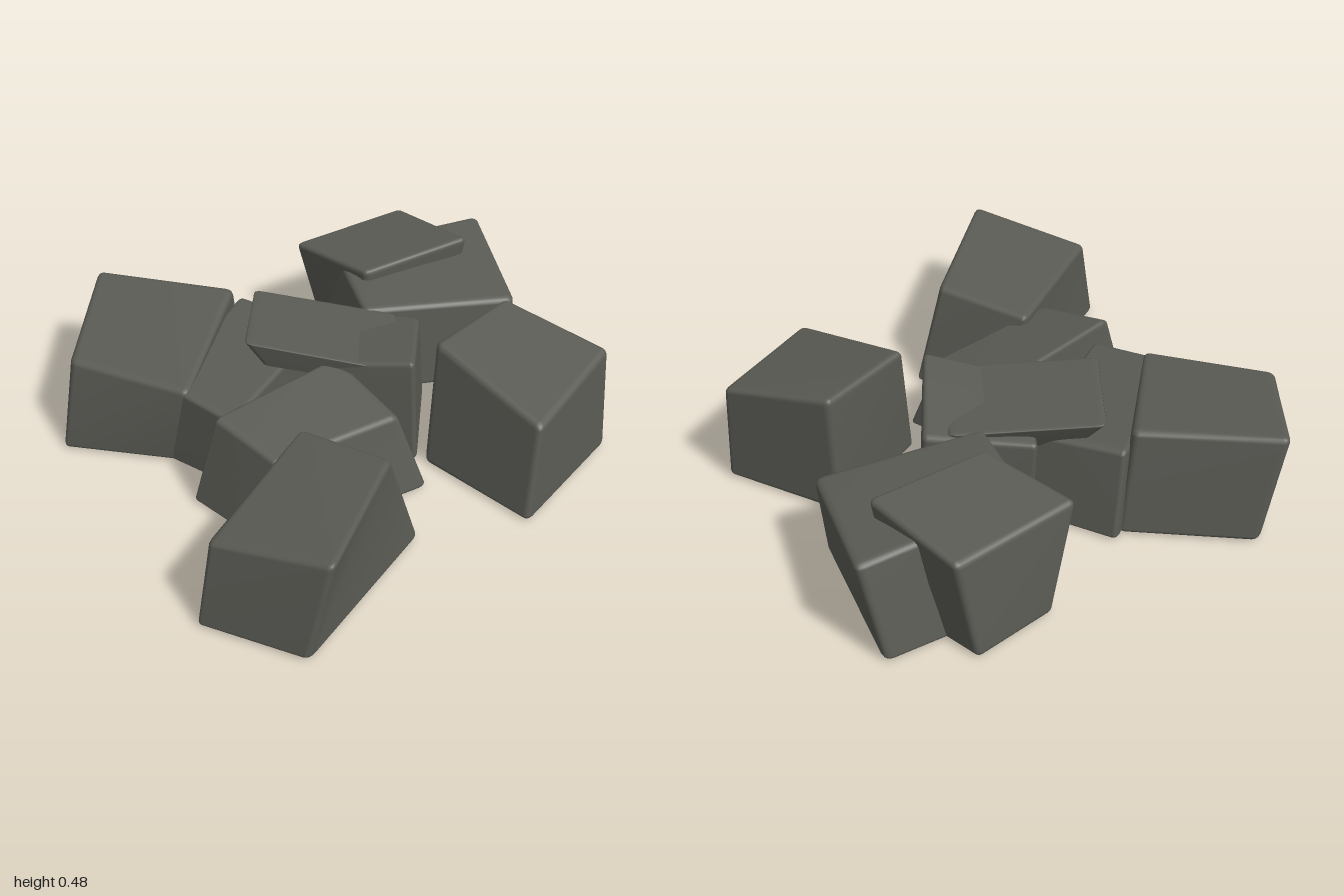
import * as THREE from 'three';
import { RoundedBoxGeometry } from 'three/addons/geometries/RoundedBoxGeometry.js';
import { mergeVertices } from 'three/addons/utils/BufferGeometryUtils.js';

const stone = new THREE.MeshStandardMaterial({ color: 0x5b5b55 });
stone.name = 'dark grey stone';

// A soft-edged block bent to eight corners.
// bottom: [x, z, y = 0] and top: [x, y, z], each in the order left, back, right, front.
function block(name, bottom, top) {
  let geo = new RoundedBoxGeometry(1, 1, 1, 2, 0.055);
  geo.deleteAttribute('uv');
  geo.deleteAttribute('normal');
  geo = mergeVertices(geo, 1e-4);
  const low = bottom.map(([x, z, y = 0]) => new THREE.Vector3(x, y, z));
  const high = top.map((p) => new THREE.Vector3(...p));
  const pos = geo.attributes.position;
  const p = new THREE.Vector3();
  for (let i = 0; i < pos.count; i++) {
    const u = pos.getX(i) + 0.5, v = pos.getY(i) + 0.5, w = pos.getZ(i) + 0.5;
    const weights = [(1 - u) * (1 - w), u * (1 - w), u * w, (1 - u) * w];
    p.set(0, 0, 0);
    weights.forEach((k, c) => {
      p.addScaledVector(low[c], k * (1 - v));
      p.addScaledVector(high[c], k * v);
    });
    pos.setXYZ(i, p.x, p.y, p.z);
  }
  geo.computeVertexNormals();
  const mesh = new THREE.Mesh(geo, stone);
  mesh.name = name;
  return mesh;
}

export function createModel() {
  const group = new THREE.Group();
  group.name = 'rubblePile';
  group.add(
    block('frontRock',
      [[-0.76, 0.69], [-0.22, 0.26], [0.11, 0.51], [-0.46, 0.98]],
      [[-0.7, 0.33, 0.67], [-0.23, 0.36, 0.23], [-0.01, 0.39, 0.53], [-0.38, 0.41, 1.01]]),
    block('backRightRock',
      [[-0.96, -0.39], [-0.58, -0.89], [-0.16, -0.64], [-0.57, -0.17]],
      [[-0.89, 0.35, -0.44], [-0.67, 0.42, -0.9], [-0.21, 0.41, -0.62], [-0.54, 0.34, -0.11]]),
    block('frontLeftRock',
      [[0.27, 0.13], [0.66, -0.13], [0.95, 0.25], [0.49, 0.58]],
      [[0.33, 0.48, 0.06], [0.68, 0.48, -0.12], [0.95, 0.405, 0.21], [0.54, 0.37, 0.53]]),
    block('backLeftRock',
      [[0.22, -0.84], [0.81, -0.91], [0.77, -0.27], [0.23, -0.34]],
      [[0.24, 0.4, -0.78], [0.88, 0.38, -0.85], [0.81, 0.33, -0.3], [0.21, 0.38, -0.35]]),
    block('backLeaningRock',
      [[0.22, -0.91], [0.53, -1.01], [0.68, -0.66], [0.3, -0.55]],
      [[0.11, 0.4, -0.86], [0.6, 0.39, -0.99], [0.74, 0.44, -0.61], [0.28, 0.43, -0.52]]),
    block('middleLowRock',
      [[-0.62, -0.22], [-0.14, -0.68], [0.08, -0.4], [-0.42, 0.06]],
      [[-0.6, 0.34, -0.2], [-0.18, 0.35, -0.65], [0.06, 0.33, -0.38], [-0.43, 0.31, 0.06]]),
    // thin slab lying across its neighbours
    block('middleTopSlab',
      [[-0.23, -0.2, 0.33], [-0.1, -0.48, 0.3], [0.3, -0.28, 0.26], [0.14, 0.01, 0.3]],
      [[-0.3, 0.44, -0.21], [-0.15, 0.42, -0.57], [0.33, 0.36, -0.32], [0.18, 0.38, 0.05]]),
    block('middleRock',
      [[-0.06, -0.08], [0.08, -0.47], [0.43, -0.28], [0.25, 0.12]],
      [[-0.06, 0.37, -0.1], [0.07, 0.35, -0.49], [0.41, 0.35, -0.28], [0.24, 0.43, 0.1]]),
    block('centreFrontRock',
      [[-0.59, 0.06], [0.02, -0.12], [0.24, 0.27], [-0.42, 0.4]],
      [[-0.5, 0.37, 0.09], [0.02, 0.37, -0.12], [0.14, 0.3, 0.21], [-0.36, 0.32, 0.34]]),
  );
  return group;
}
